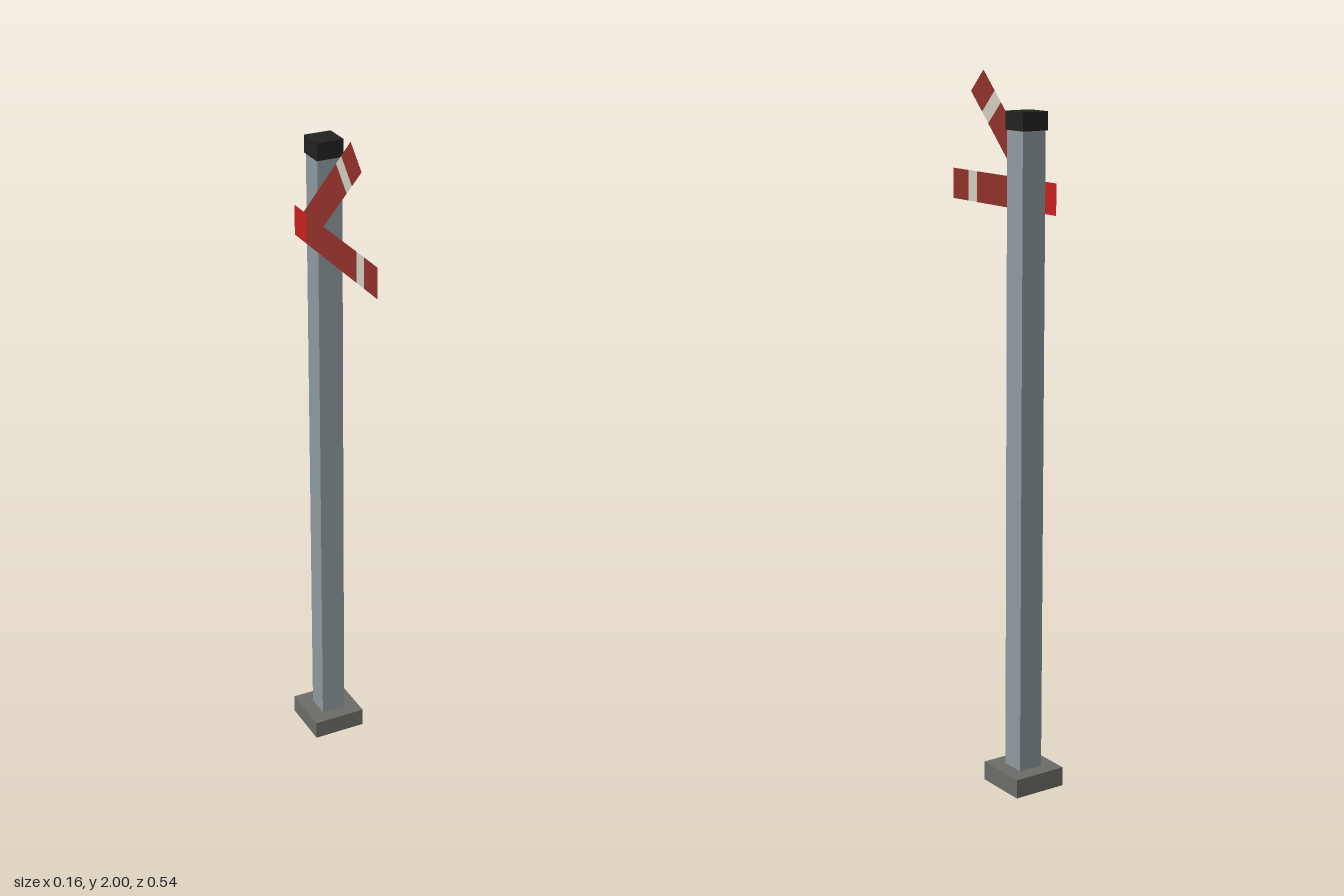
import * as THREE from 'three';

const DS = THREE.DoubleSide;
const postGrey = new THREE.MeshStandardMaterial({ name: 'postGrey', color: 0x8f9aa0, side: DS });
const baseGrey = new THREE.MeshStandardMaterial({ name: 'baseGrey', color: 0x6c6c68, side: DS });
const capBlack = new THREE.MeshStandardMaterial({ name: 'capBlack', color: 0x222222 });
const armRed = new THREE.MeshStandardMaterial({ name: 'armRed', color: 0x92302a, side: DS });
const bracketRed = new THREE.MeshStandardMaterial({ name: 'bracketRed', color: 0xc82020, side: DS });
const stripeCream = new THREE.MeshStandardMaterial({ name: 'stripeCream', color: 0xd0cdbf, side: DS });

const POST_Z = -0.19;
const ARM_X = -0.073;
const ARM_Y = 1.671;
const PIVOT_Z = -0.15;
const ARM_HEIGHT = 0.087;

function addMesh(parent, name, geometry, material, x = 0, y = 0, z = 0) {
  const mesh = new THREE.Mesh(geometry, material);
  mesh.name = name;
  mesh.position.set(x, y, z);
  parent.add(mesh);
  return mesh;
}

// Four side walls of a box, without its top and bottom
function tubeBox(w, h, d) {
  const geometry = new THREE.BoxGeometry(w, h, d);
  const index = Array.from(geometry.index.array);
  geometry.setIndex([...index.slice(0, 12), ...index.slice(24)]);
  geometry.clearGroups();
  return geometry;
}

// Flat upright strip in the yz plane, from z0 to z1
function strip(parent, name, material, z0, z1) {
  const geometry = new THREE.PlaneGeometry(z1 - z0, ARM_HEIGHT).rotateY(-Math.PI / 2);
  return addMesh(parent, name, geometry, material, 0, 0, (z0 + z1) / 2);
}

// Striped arm reaching forward from its pivot
function makeArm(name, angle, x) {
  const arm = new THREE.Group();
  arm.name = name;
  strip(arm, 'armInner', armRed, 0, 0.3);
  strip(arm, 'armStripe', stripeCream, 0.3, 0.343);
  strip(arm, 'armTip', armRed, 0.343, 0.42);
  arm.position.set(x, ARM_Y, PIVOT_Z);
  arm.rotation.x = -angle;
  return arm;
}

export function createModel() {
  const model = new THREE.Group();
  model.name = 'signalPost';

  // Hollow foot, open below, with a square hole under the post
  const base = new THREE.Group();
  base.name = 'base';
  base.position.z = POST_Z;
  addMesh(base, 'baseWalls', tubeBox(0.16, 0.055, 0.16), baseGrey, 0, 0.0275, 0);
  const square = (s) => [[-s, -s], [s, -s], [s, s], [-s, s]].map(([a, b]) => new THREE.Vector2(a, b));
  const topShape = new THREE.Shape(square(0.08));
  topShape.holes.push(new THREE.Path(square(0.036)));
  addMesh(base, 'baseTop', new THREE.ShapeGeometry(topShape).rotateX(-Math.PI / 2), baseGrey, 0, 0.055, 0);
  model.add(base);

  // Hollow post and its cap
  addMesh(model, 'post', tubeBox(0.074, 1.82, 0.072), postGrey, 0, 0.95, POST_Z + 0.001);
  addMesh(model, 'cap', new THREE.BoxGeometry(0.08, 0.05, 0.08), capBlack, 0, 1.882, POST_Z);

  // Bracket plate and the two arm positions beside the post
  const bracket = strip(model, 'bracket', bracketRed, -0.226, PIVOT_Z);
  bracket.position.x = ARM_X;
  bracket.position.y = ARM_Y;
  model.add(makeArm('levelArm', 0, ARM_X));
  model.add(makeArm('raisedArm', Math.PI / 4, ARM_X + 0.001));

  return model;
}
